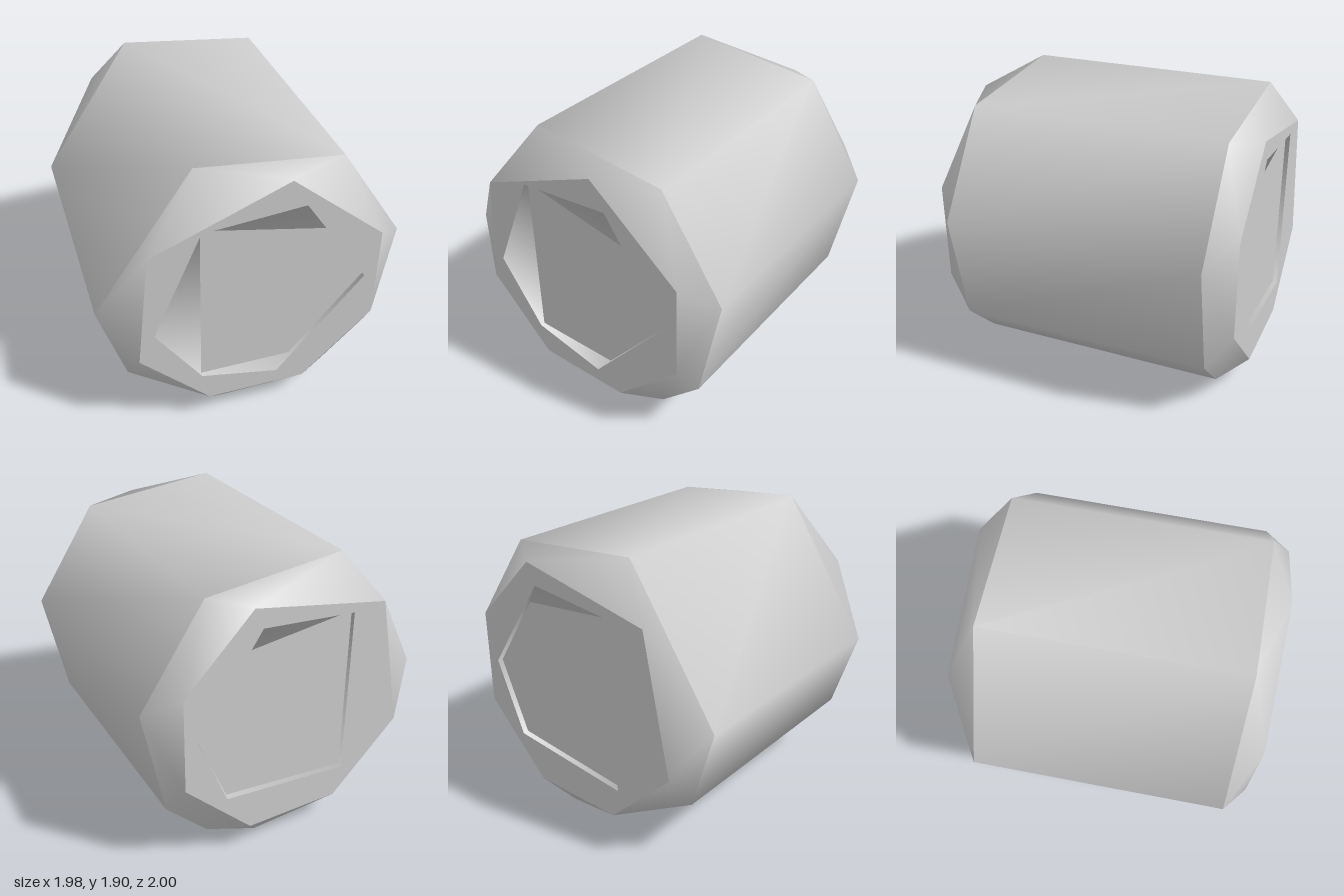
import * as THREE from 'three';

const CY = 0.97; // height of the barrel axis

// Rings are listed clockwise as seen from the front, starting at the -x side.
const outerFront = [[-0.99, 0.98], [-0.37, 1.9], [0.56, 1.81], [0.985, 1.17], [0.84, 0.43], [0.56, 0.15], [-0.18, 0], [-0.82, 0.43]];
const outerBack = [[-0.99, 0.98], [-0.37, 1.9], [0.56, 1.81], [0.985, 1.17], [0.84, 0.43], [0.56, 0.15], [0.2, 0], [-0.83, 0.43]];
const rimFront = [[-0.69, 1.45], [0.17, 1.81], [0.785, 1.3], [0.785, 0.66], [0.33, 0.2], [-0.32, 0.2], [-0.77, 0.66]];
const rimBack = [[-0.6, 1.58], [0.33, 1.76], [0.785, 1.3], [0.785, 0.66], [0.33, 0.2], [-0.32, 0.2], [-0.785, 0.66]];
const holeFront = [[-0.37, 1.56], [0.27, 1.62], [0.7, 0.98], [0.14, 0.3], [-0.37, 0.41], [-0.67, 0.85]];
const holeBack = [[-0.37, 1.56], [0.27, 1.62], [0.7, 0.98], [0.5, 0.49], [-0.37, 0.41]];
const floorFront = [[-0.37, 1.56], [0.42, 1.4], [0.7, 0.98], [0.23, 0.41], [-0.37, 0.41]];
const floorBack = [[-0.37, 1.56], [0.36, 1.48], [0.69, 0.98], [0.49, 0.5], [-0.37, 0.42]];

// Clockwise fraction of a turn around the axis
const turn = ([x, y]) => (Math.PI - Math.atan2(y - CY, x)) / (2 * Math.PI);

// Joins two rings of different point counts with a strip of triangles
function zip(a, za, b, zb) {
  const next = (ring, k) => turn(ring[k % ring.length]) + Math.floor(k / ring.length);
  const index = [];
  let i = 0, j = 0;
  while (i < a.length || j < b.length) {
    const A = i % a.length, B = a.length + (j % b.length);
    const stepA = j >= b.length || (i < a.length && next(a, i + 1) <= next(b, j + 1));
    if (stepA) {
      index.push(A, (i + 1) % a.length, B);
      i++;
    } else {
      index.push(A, a.length + ((j + 1) % b.length), B);
      j++;
    }
  }
  const points = [...a.map(([x, y]) => [x, y, za]), ...b.map(([x, y]) => [x, y, zb])];
  const geo = new THREE.BufferGeometry();
  geo.setAttribute('position', new THREE.Float32BufferAttribute(points.flat(), 3));
  geo.setIndex(index);
  geo.computeVertexNormals();
  return geo;
}

// Normals of the recess walls point at the axis
function inwardNormals(geo) {
  const p = geo.attributes.position, n = geo.attributes.normal, v = new THREE.Vector3();
  for (let i = 0; i < p.count; i++) {
    v.set(-p.getX(i), CY - p.getY(i), 0).normalize();
    n.setXYZ(i, v.x, v.y, v.z);
  }
  return geo;
}

// Flat plate at depth z, facing +z (side 1) or -z (side -1), with an optional hole
function plate(ring, hole, z, side) {
  const pts = (r) => r.map(([x, y]) => new THREE.Vector2(x * side, y));
  const shape = new THREE.Shape(pts(ring));
  if (hole) shape.holes.push(new THREE.Path(pts(hole)));
  const geo = new THREE.ShapeGeometry(shape);
  if (side < 0) geo.rotateY(Math.PI);
  return geo.translate(0, 0, z);
}

export function createModel() {
  const grey = new THREE.MeshStandardMaterial({ color: 0xcccccc });
  grey.name = 'light grey';
  const group = new THREE.Group();
  group.name = 'barrel';
  const add = (name, geo) => {
    const mesh = new THREE.Mesh(geo, grey);
    mesh.name = name;
    group.add(mesh);
  };

  // Barrel wall and sloping shoulders
  add('body', zip(outerFront, 0.84, outerBack, -0.84));
  add('frontShoulder', zip(rimFront, 1, outerFront, 0.84));
  add('backShoulder', zip(outerBack, -0.84, rimBack, -1));

  // End faces with a shallow recess
  add('frontRim', plate(rimFront, holeFront, 1, 1));
  add('backRim', plate(rimBack, holeBack, -1, -1));
  add('frontRecessWall', inwardNormals(zip(floorFront, 0.97, holeFront, 1)));
  add('backRecessWall', inwardNormals(zip(holeBack, -1, floorBack, -0.97)));
  add('frontRecessFloor', plate(floorFront, null, 0.97, 1));
  add('backRecessFloor', plate(floorBack, null, -0.97, -1));
  return group;
}
